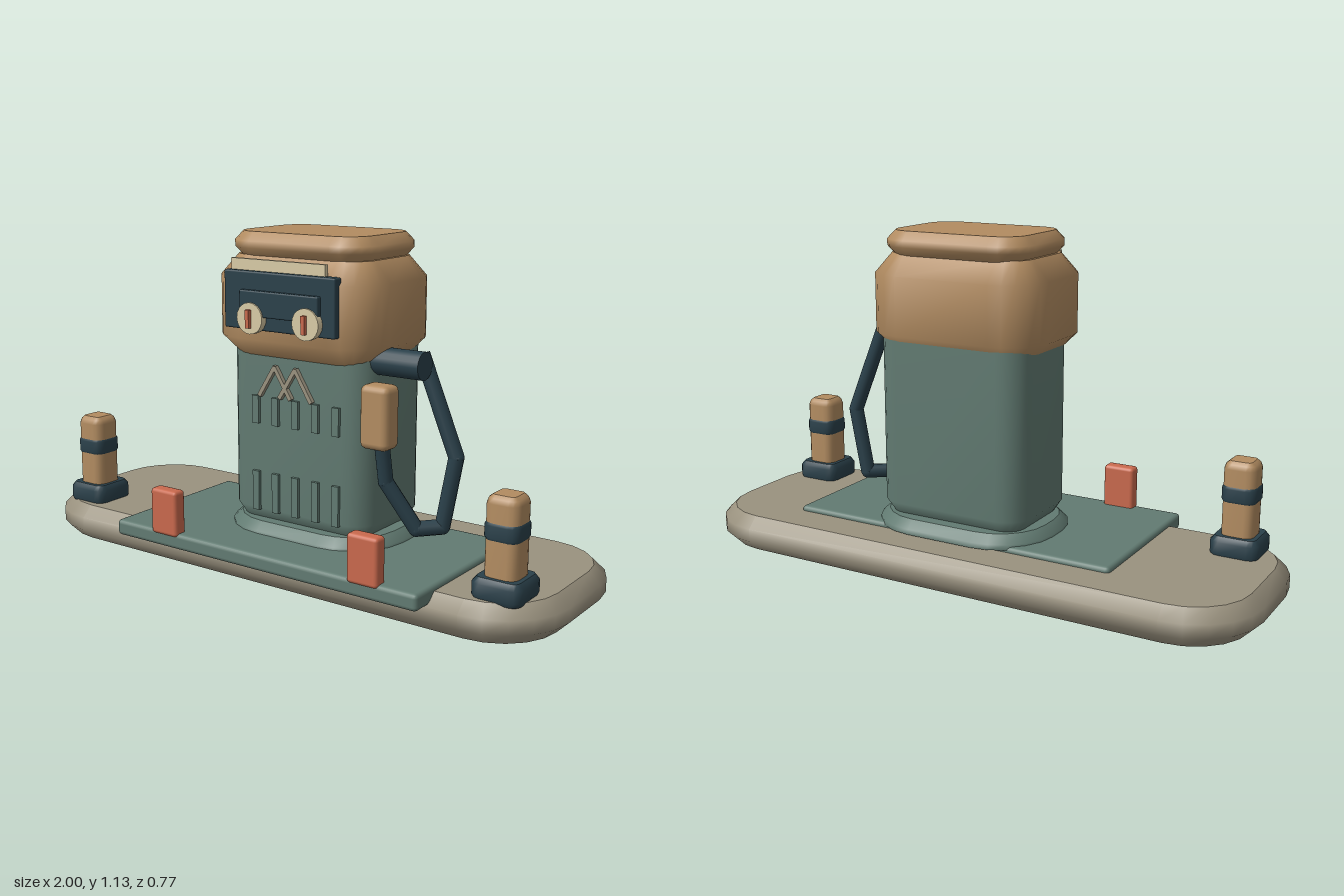
import * as THREE from 'three';
import { RoundedBoxGeometry } from 'three/addons/geometries/RoundedBoxGeometry.js';

const mat = (name, color) => {
  const m = new THREE.MeshStandardMaterial({ color });
  m.name = name;
  return m;
};

// Rounded-rectangle block; levels are [y, inset] pairs from bottom to top.
// Walls are smooth, the two end caps are flat with their own vertices.
function roundedBlock(hx, hz, r, levels, steps = 5) {
  const pos = [], idx = [], n = 4 * (steps + 1);
  const ring = ([y, inset]) => {
    for (let q = 0; q < 4; q++) {
      const sx = q === 0 || q === 3 ? 1 : -1, sz = q < 2 ? 1 : -1;
      for (let s = 0; s <= steps; s++) {
        const a = (q + s / steps) * Math.PI / 2, k = r - inset;
        pos.push(sx * (hx - r) + k * Math.cos(a), y, sz * (hz - r) + k * Math.sin(a));
      }
    }
  };
  levels.forEach(ring);
  for (let l = 0; l < levels.length - 1; l++) {
    for (let i = 0; i < n; i++) {
      const a = l * n + i, b = l * n + (i + 1) % n;
      idx.push(a, a + n, b, b, a + n, b + n);
    }
  }
  [levels[0], levels[levels.length - 1]].forEach((level, top) => {
    const start = pos.length / 3;
    ring(level);
    pos.push(0, level[0], 0);
    for (let i = 0; i < n; i++) {
      const a = start + i, b = start + (i + 1) % n;
      if (top) idx.push(start + n, b, a);
      else idx.push(start + n, a, b);
    }
  });
  const g = new THREE.BufferGeometry();
  g.setAttribute('position', new THREE.Float32BufferAttribute(pos, 3));
  g.setIndex(idx);
  g.computeVertexNormals();
  return g;
}

export function createModel() {
  const root = new THREE.Group();
  root.name = 'fuelPump';
  const stone = mat('stone', 0x9a927f), green = mat('sageGreen', 0x627b72);
  const tan = mat('tan', 0xb28c61), dark = mat('darkSlate', 0x2a404a);
  const red = mat('coralRed', 0xc9694d), cream = mat('cream', 0xd9cba6);

  const add = (name, geo, material, x = 0, y = 0, z = 0, parent = root) => {
    const m = new THREE.Mesh(geo, material);
    m.name = name;
    m.position.set(x, y, z);
    parent.add(m);
    return m;
  };
  // Box given by its minimum and maximum corners
  const box = (name, material, [x0, x1], [y0, y1], [z0, z1], r = 0, parent = root) => {
    const w = x1 - x0, h = y1 - y0, d = z1 - z0;
    const g = r ? new RoundedBoxGeometry(w, h, d, 2, r) : new THREE.BoxGeometry(w, h, d);
    return add(name, g, material, (x0 + x1) / 2, (y0 + y1) / 2, (z0 + z1) / 2, parent);
  };
  // Round rod between two points
  const rod = (name, material, a, b, r, parent = root, sides = 10) => {
    const d = b.clone().sub(a);
    const m = add(name, new THREE.CylinderGeometry(r, r, d.length(), sides), material, 0, 0, 0, parent);
    m.position.copy(a).add(b).multiplyScalar(0.5);
    m.quaternion.setFromUnitVectors(new THREE.Vector3(0, 1, 0), d.normalize());
    return m;
  };

  // Island and floor plate
  add('island', roundedBlock(1, 0.35, 0.24, [[0, 0.04], [0.04, 0], [0.085, 0], [0.123, 0.04]]), stone, 0, 0, -0.033);
  box('floorPlate', green, [-0.53, 0.66], [0.086, 0.14], [-0.215, 0.378], 0.014);

  // Cabinet
  const cx = 0.066;
  add('collar', roundedBlock(0.32, 0.232, 0.2, [[0.13, 0], [0.148, 0], [0.175, 0.03]]), green, cx, 0, -0.02);
  add('cabinet', roundedBlock(0.275, 0.188, 0.09, [[0.17, 0.03], [0.215, 0], [0.78, 0]]), green, cx, 0, -0.018);
  add('head', roundedBlock(0.313, 0.228, 0.14, [[0.72, 0.07], [0.79, 0], [0.985, 0], [1.052, 0.058]]), tan, cx, 0, 0.002);
  add('headCap', roundedBlock(0.266, 0.198, 0.11,
    [[1.045, 0.028], [1.075, 0], [1.097, 0], [1.126, 0.028]]), tan, cx, 0, -0.002);

  // Cooling slats in two rows
  for (let i = 0; i < 5; i++) {
    const x = -0.079 + i * 0.079;
    box('upperSlat', green, [x - 0.013, x + 0.013], [0.505, 0.597], [0.16, 0.181]);
    box('lowerSlat', green, [x - 0.013, x + 0.013], [0.21, 0.343], [0.16, 0.181]);
  }

  // Pair of chevron trims
  for (const x of [0.002, 0.083]) {
    for (const s of [-1, 1]) {
      const bar = add('chevronBar', new THREE.BoxGeometry(0.014, 0.12, 0.016), stone, x + s * 0.031, 0.65, 0.177);
      bar.rotation.z = s * 0.56;
    }
  }

  // Display panel with two dials
  const panel = new THREE.Group();
  panel.name = 'displayPanel';
  root.add(panel);
  box('panelPlate', dark, [-0.148, 0.28], [0.825, 1.01], [0.21, 0.247], 0.006, panel);
  box('panelBar', dark, [-0.075, 0.228], [0.87, 0.952], [0.24, 0.264], 0.005, panel);
  box('topStrip', cream, [-0.132, 0.232], [1.005, 1.046], [0.214, 0.229], 0, panel);
  for (const x of [-0.029, 0.186]) {
    const dial = add('dial', new THREE.CylinderGeometry(0.05, 0.05, 0.024, 20), cream, x, 0.865, 0.258, panel);
    dial.rotation.x = Math.PI / 2;
    box('dialNeedle', red, [x - 0.007, x + 0.007], [0.835, 0.893], [0.268, 0.283], 0, panel);
  }

  // Side arm, hose and nozzle grip
  const v = (x, y, z) => new THREE.Vector3(x, y, z);
  rod('hoseArm', dark, v(0.3, 0.743, 0.079), v(0.497, 0.743, 0.079), 0.045, root, 16);
  const hose = new THREE.Group();
  hose.name = 'hose';
  root.add(hose);
  const path = [v(0.455, 0.77, 0.027), v(0.575, 0.455, 0.01), v(0.535, 0.225, 0.016),
    v(0.475, 0.222, 0.075), v(0.395, 0.375, 0.13), v(0.39, 0.52, 0.152)];
  path.slice(1).forEach((p, i) => {
    rod('hoseSection', dark, path[i], p, 0.025, hose);
    if (i < 4) add('hoseBend', new THREE.SphereGeometry(0.025, 10, 8), dark, p.x, p.y, p.z, hose);
  });
  box('nozzleGrip', tan, [0.34, 0.442], [0.488, 0.69], [0.124, 0.207], 0.022);

  // Front kerb markers
  for (const x of [-0.31, 0.473]) {
    box('kerbMarker', red, [x - 0.055, x + 0.055], [0.128, 0.284], [0.334, 0.384], 0.012);
  }

  // Bollards at both ends
  for (const x of [-0.812, 0.84]) {
    const bollard = new THREE.Group();
    bollard.name = 'bollard';
    bollard.position.set(x, 0, 0.176);
    root.add(bollard);
    add('bollardFoot', roundedBlock(0.082, 0.082, 0.035,
      [[0.115, 0.008], [0.13, 0], [0.168, 0], [0.185, 0.014]], 3), dark, 0, 0, 0, bollard);
    add('bollardPost', roundedBlock(0.054, 0.054, 0.03,
      [[0.18, 0], [0.405, 0], [0.42, 0.006], [0.43, 0.018]], 3), tan, 0, 0, 0, bollard);
    add('bollardBand', roundedBlock(0.058, 0.058, 0.033,
      [[0.295, 0.005], [0.304, 0], [0.341, 0], [0.35, 0.005]], 3), dark, 0, 0, 0, bollard);
  }
  return root;
}
